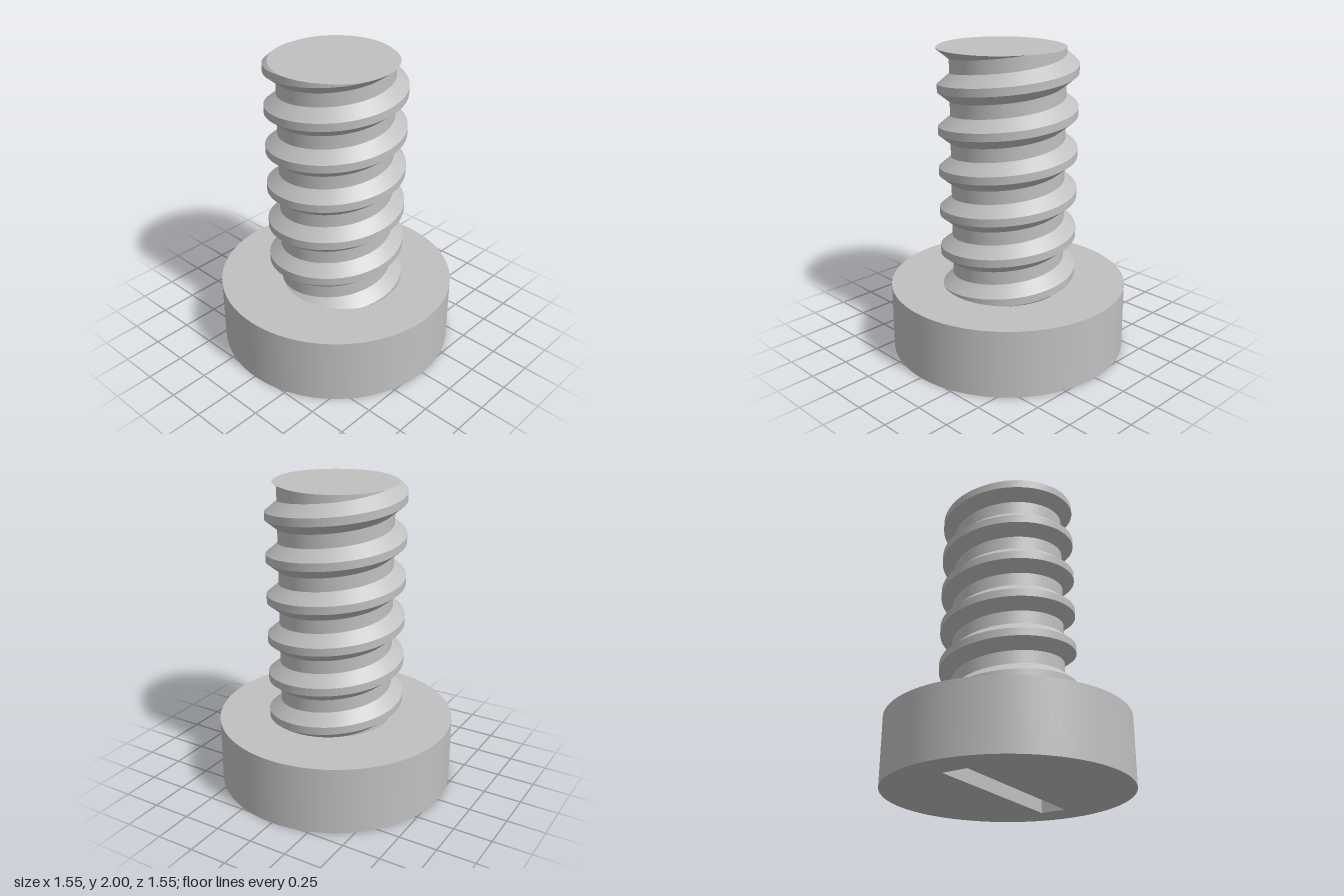
import * as THREE from 'three';

const HEAD_R = 0.777, HEAD_H = 0.445, TOP = 2;
const PITCH = 0.2675, CREST = 0.444, ROOT = 0.366, SEG = 96;
const SLOT_X = 0.555, SLOT_Z = 0.086, SLOT_DEPTH = 0.22;

// Thread profile over one pitch: [height above the crest centre, radius]
const PROFILE = [
  [-0.0255, CREST], [0.0255, CREST], [0.0925, ROOT], [0.179, ROOT], [PITCH - 0.0255, CREST],
];

// Height of the crest centre; the angle runs from the front (+z) towards +x
const crestY = (a) => TOP + PITCH * (a / (2 * Math.PI) - 32 / 360);

const lerpRadius = (p, q, u) => p[1] + (q[1] - p[1]) * (u - p[0]) / (q[0] - p[0]);

function radiusAt(a, y) {
  let u = (y - crestY(a)) % PITCH;
  if (u < 0) u += PITCH;
  if (u > PITCH - 0.0255) u -= PITCH;
  const i = PROFILE.findIndex((p, k) => k < 4 && u <= PROFILE[k + 1][0]);
  return lerpRadius(PROFILE[i], PROFILE[i + 1], u);
}

// One face of the thread, swept along the helix and cut off at head and tip
function threadFace(p, q) {
  const pos = [], index = [];
  const turns = Math.ceil((TOP - HEAD_H) / PITCH) + 2;
  const total = turns * SEG;
  const spans = [];
  for (let i = 0; i <= total; i++) {
    const a = (i / SEG - turns + 1.2) * 2 * Math.PI;
    const ys = [p, q].map(([u]) => THREE.MathUtils.clamp(crestY(a) + u, HEAD_H - 0.005, TOP));
    for (const y of ys) {
      const r = lerpRadius(p, q, y - crestY(a));
      pos.push(Math.sin(a) * r, y, Math.cos(a) * r);
    }
    spans.push(ys[1] - ys[0]);
    if (i > 0 && spans[i] + spans[i - 1] > 1e-6) {
      const k = 2 * i;
      index.push(k - 2, k, k + 1, k - 2, k + 1, k - 1);
    }
  }
  const g = new THREE.BufferGeometry();
  g.setAttribute('position', new THREE.Float32BufferAttribute(pos, 3));
  g.setIndex(index);
  g.computeVertexNormals();
  return g;
}

export function createModel() {
  const steel = new THREE.MeshStandardMaterial({ color: 0xc0c0c0 });
  steel.name = 'steel';
  const model = new THREE.Group();
  model.name = 'screw';
  const add = (parent, name, geometry) => {
    const mesh = new THREE.Mesh(geometry, steel);
    mesh.name = name;
    parent.add(mesh);
    return mesh;
  };

  // Head: wall, upper face, and slotted underside
  const head = new THREE.Group();
  head.name = 'head';
  model.add(head);
  add(head, 'headWall', new THREE.CylinderGeometry(HEAD_R, HEAD_R, HEAD_H, SEG, 1, true)
    .translate(0, HEAD_H / 2, 0));
  add(head, 'headTop', new THREE.CircleGeometry(HEAD_R, SEG)
    .rotateX(-Math.PI / 2).translate(0, HEAD_H, 0));
  const under = new THREE.Shape().absarc(0, 0, HEAD_R, 0, 2 * Math.PI);
  under.holes.push(new THREE.Path([
    [-SLOT_X, -SLOT_Z], [-SLOT_X, SLOT_Z], [SLOT_X, SLOT_Z], [SLOT_X, -SLOT_Z],
  ].map(([x, y]) => new THREE.Vector2(x, y))));
  add(head, 'headUnderside', new THREE.ShapeGeometry(under, SEG / 2).rotateX(Math.PI / 2));

  // Slot: inward-facing walls and a floor
  for (const s of [-1, 1]) {
    add(head, 'slotSide', new THREE.PlaneGeometry(2 * SLOT_X, SLOT_DEPTH)
      .rotateY(s > 0 ? Math.PI : 0).translate(0, SLOT_DEPTH / 2, s * SLOT_Z));
    add(head, 'slotEnd', new THREE.PlaneGeometry(2 * SLOT_Z, SLOT_DEPTH)
      .rotateY(-s * Math.PI / 2).translate(s * SLOT_X, SLOT_DEPTH / 2, 0));
  }
  add(head, 'slotFloor', new THREE.PlaneGeometry(2 * SLOT_X, 2 * SLOT_Z)
    .rotateX(Math.PI / 2).translate(0, SLOT_DEPTH, 0));

  // Threaded shank: crest, upper flank, root and lower flank
  const shank = new THREE.Group();
  shank.name = 'shank';
  model.add(shank);
  ['threadCrest', 'threadUpperFlank', 'threadRoot', 'threadLowerFlank'].forEach((name, i) =>
    add(shank, name, threadFace(PROFILE[i], PROFILE[i + 1])));

  // Flat tip, following the thread outline where it is cut
  const outline = [];
  for (let i = 0; i < SEG; i++) {
    const a = i / SEG * 2 * Math.PI, r = radiusAt(a, TOP);
    outline.push(new THREE.Vector2(Math.sin(a) * r, -Math.cos(a) * r));
  }
  add(shank, 'tip', new THREE.ShapeGeometry(new THREE.Shape(outline))
    .rotateX(-Math.PI / 2).translate(0, TOP, 0));

  return model;
}
